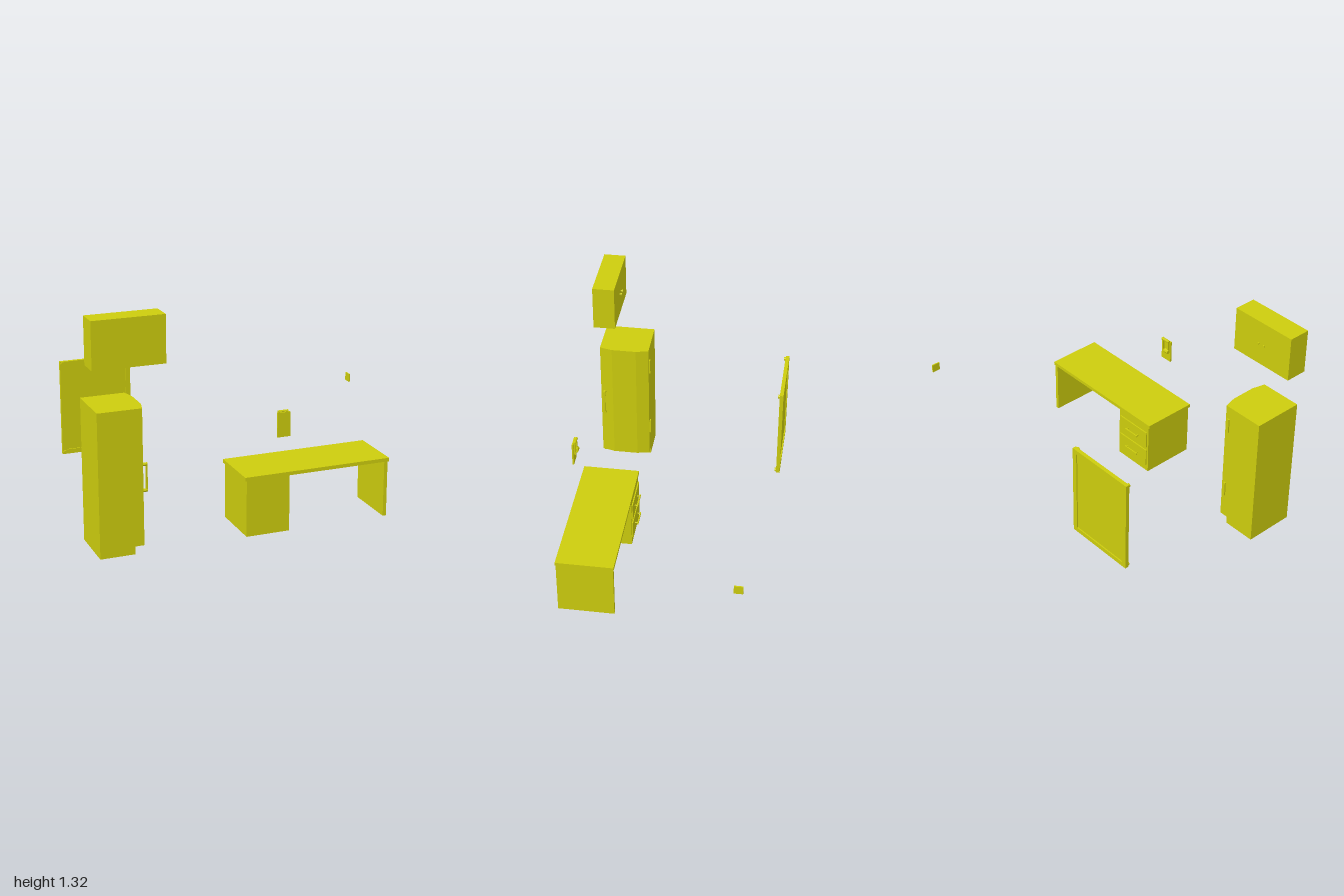
import * as THREE from 'three';

const mat = new THREE.MeshStandardMaterial({ color: 0xcccc0d, flatShading: true });

function add(parent, name, geo) {
  const mesh = new THREE.Mesh(geo, mat);
  mesh.name = name;
  parent.add(mesh);
  return mesh;
}

// Box given by its limits on each axis
function box(parent, name, x0, x1, y0, y1, z0, z1) {
  const mesh = add(parent, name, new THREE.BoxGeometry(x1 - x0, y1 - y0, z1 - z0));
  mesh.position.set((x0 + x1) / 2, (y0 + y1) / 2, (z0 + z1) / 2);
  return mesh;
}

// Cylinder along a chosen axis
function rod(parent, name, axis, r, len, x, y, z, sides = 8) {
  const geo = new THREE.CylinderGeometry(r, r, len, sides);
  if (axis === 'x') geo.rotateZ(Math.PI / 2);
  if (axis === 'z') geo.rotateX(Math.PI / 2);
  const mesh = add(parent, name, geo);
  mesh.position.set(x, y, z);
  return mesh;
}

function group(root, name) {
  const g = new THREE.Group();
  g.name = name;
  root.add(g);
  return g;
}

function rectPath(Type, x0, x1, y0, y1) {
  return new Type([[x0, y0], [x1, y0], [x1, y1], [x0, y1]].map(p => new THREE.Vector2(...p)));
}

// Plan outline in x, z raised from y0 to y1
function raise(parent, name, pts, y0, y1, hole) {
  const shape = new THREE.Shape(pts.map(([x, z]) => new THREE.Vector2(x, -z)));
  if (hole) shape.holes.push(hole);
  const geo = new THREE.ExtrudeGeometry(shape, { depth: y1 - y0, bevelEnabled: false });
  geo.rotateX(-Math.PI / 2).translate(0, y0, 0);
  return add(parent, name, geo);
}

function wallCabinet(root) {
  const g = group(root, 'wallCabinet');
  box(g, 'cabinetBody', -1, -0.592, 1.055, 1.322, 0.45, 0.58);
  for (const x of [-0.815, -0.775]) {
    rod(g, 'knobStem', 'z', 0.003, 0.01, x, 1.187, 0.446);
    rod(g, 'knob', 'z', 0.007, 0.007, x, 1.187, 0.44);
  }
}

function refrigerator(root) {
  const g = group(root, 'refrigerator');
  // Body with a bowed door side
  raise(g, 'body', [[-0.978, 0.573], [-0.728, 0.573], [-0.709, 0.497], [-0.709, 0.348],
    [-0.728, 0.272], [-0.978, 0.272]], 0.045, 0.822);
  // Hollow plinth, set back below the door
  raise(g, 'plinth', [[-0.978, 0.573], [-0.78, 0.573], [-0.78, 0.272], [-0.978, 0.272]], 0, 0.045,
    rectPath(THREE.Path, -0.966, -0.792, -0.561, -0.284));
  // Door handle
  box(g, 'handleGrip', -0.706, -0.697, 0.355, 0.495, 0.544, 0.555);
  for (const y of [0.352, 0.5]) {
    rod(g, 'handleMount', 'x', 0.01, 0.026, -0.711, y, 0.55);
  }
  // Hinges on the back
  for (const y of [0.24, 0.695]) box(g, 'hinge', -0.757, -0.742, y - 0.046, y + 0.046, 0.264, 0.273);
}

function desk(root) {
  const g = group(root, 'desk');
  box(g, 'deskTop', -0.14, 0.745, 0.33, 0.351, 0.242, 0.575);
  box(g, 'drawerCabinet', -0.13, 0.128, 0, 0.33, 0.246, 0.572);
  box(g, 'sidePanel', 0.717, 0.738, 0, 0.33, 0.246, 0.572);
  // Drawer fronts with bar handles
  for (const [y0, y1] of [[0.045, 0.155], [0.18, 0.287]]) {
    const y = (y0 + y1) / 2;
    box(g, 'drawerFront', -0.118, 0.116, y0, y1, 0.239, 0.247);
    box(g, 'drawerHandle', -0.055, 0.052, y - 0.005, y + 0.005, 0.218, 0.225);
    for (const x of [-0.045, 0.042]) rod(g, 'handlePost', 'z', 0.004, 0.018, x, y, 0.231);
  }
}

function wallPhone(root) {
  const g = group(root, 'wallPhone');
  box(g, 'backPlate', 0.046, 0.122, 0.565, 0.706, 0.578, 0.587);
  // Horizontal bar and barrel joined by slim arms
  rod(g, 'upperBar', 'x', 0.008, 0.06, 0.084, 0.708, 0.571);
  rod(g, 'barrel', 'x', 0.014, 0.03, 0.069, 0.637, 0.57);
  for (const x of [0.062, 0.105]) box(g, 'arm', x - 0.005, x + 0.005, 0.628, 0.708, 0.567, 0.578);
  box(g, 'lowerBar', 0.062, 0.105, 0.627, 0.637, 0.567, 0.578);
}

function wallBoard(root) {
  const g = group(root, 'wallBoard');
  // Frame with a recessed panel
  const shape = rectPath(THREE.Shape, -0.853, -0.421, 0.21, 0.785);
  shape.holes.push(rectPath(THREE.Path, -0.824, -0.45, 0.237, 0.757));
  const frame = new THREE.ExtrudeGeometry(shape, { depth: 0.022, bevelEnabled: false });
  add(g, 'frame', frame).position.z = -0.585;
  box(g, 'panel', -0.825, -0.449, 0.236, 0.758, -0.578, -0.57);
  // Corner studs
  for (const x of [-0.84, -0.434]) {
    for (const y of [0.223, 0.772]) rod(g, 'cornerStud', 'z', 0.011, 0.012, x, y, -0.559, 12);
  }
}

export function createModel() {
  const root = new THREE.Group();
  root.name = 'kitchenFurniture';
  wallCabinet(root);
  refrigerator(root);
  desk(root);
  wallPhone(root);
  wallBoard(root);
  // Small plate on the side wall
  box(root, 'switchPlate', 0.992, 1, 0.487, 0.537, -0.505, -0.454);
  return root;
}
